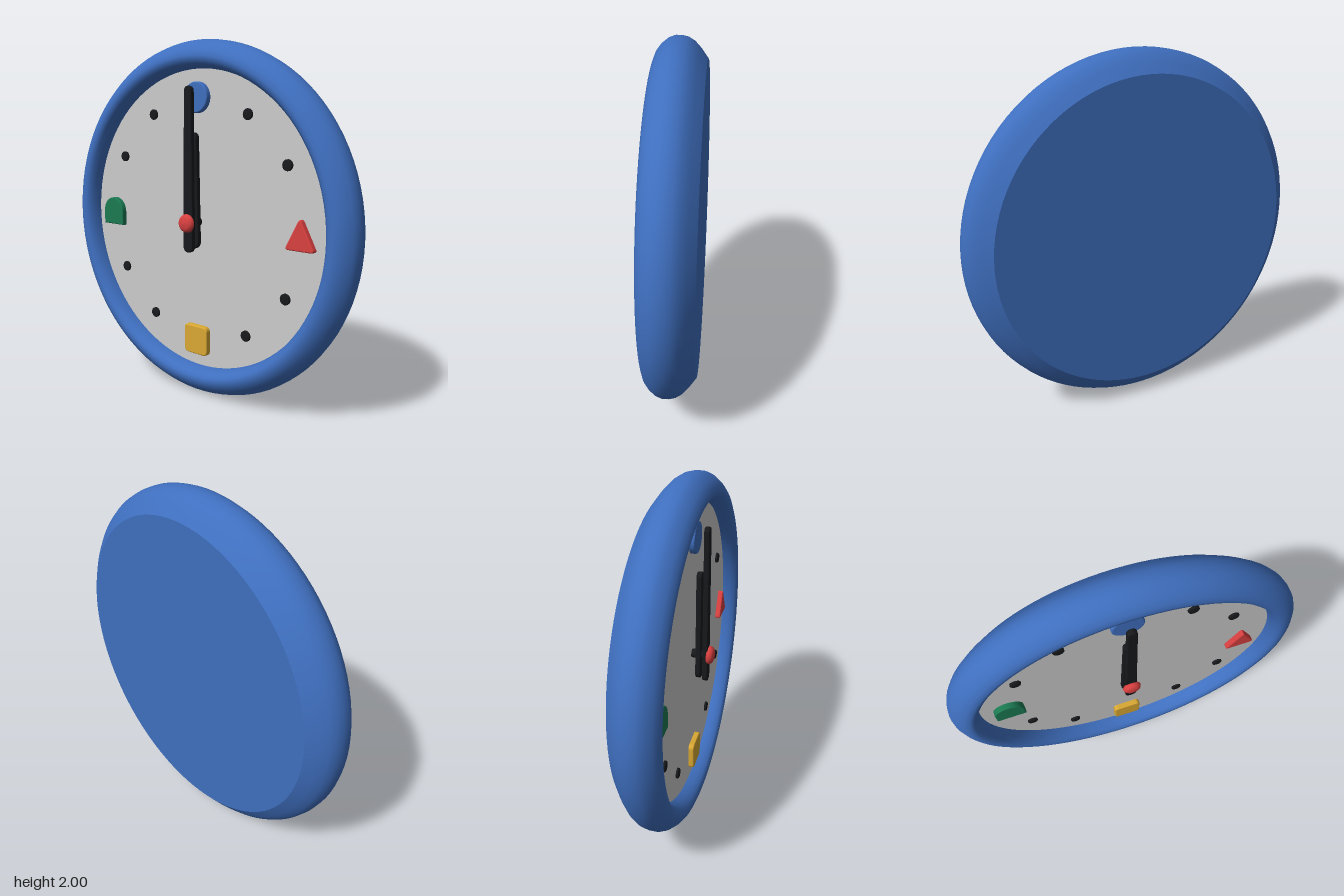
import * as THREE from 'three';

const BLUE = 0x3f6fbf, RED = 0xd94040, YELLOW = 0xd9a833, GREEN = 0x1b7a52, BLACK = 0x17191c;
const FACE_Z = 0.027;

function add(parent, name, geometry, color, x = 0, y = 0, z = 0) {
  const mesh = new THREE.Mesh(geometry, new THREE.MeshStandardMaterial({ color }));
  mesh.name = name;
  mesh.position.set(x, y, z);
  parent.add(mesh);
  return mesh;
}

// Lathe about the z axis; points are [radius, z], running from back to front
function turned(points, segments = 96) {
  return new THREE.LatheGeometry(points.map(([r, z]) => new THREE.Vector2(r, z)), segments).rotateX(Math.PI / 2);
}

// Bevelled plate from z = 0 to z = depth, keeping the outline's size
function plate(shape, depth, bevel) {
  return new THREE.ExtrudeGeometry(shape, {
    depth: depth - bevel, bevelEnabled: true, bevelThickness: bevel, bevelSize: bevel,
    bevelOffset: -bevel, bevelSegments: 3, curveSegments: 24,
  });
}

// Polygon with rounded corners, listed anticlockwise
function roundedPolygon(corners, radius) {
  const pts = corners.map(([x, y]) => new THREE.Vector2(x, y));
  const shape = new THREE.Shape();
  pts.forEach((p, i) => {
    const prev = pts[(i + pts.length - 1) % pts.length], next = pts[(i + 1) % pts.length];
    const a = p.clone().add(prev.clone().sub(p).setLength(radius));
    const b = p.clone().add(next.clone().sub(p).setLength(radius));
    if (i === 0) shape.moveTo(a.x, a.y); else shape.lineTo(a.x, a.y);
    shape.quadraticCurveTo(p.x, p.y, b.x, b.y);
  });
  shape.closePath();
  return shape;
}

// Tapered hand with round ends
function handShape(bottom, top, wBottom, wTop) {
  const shape = new THREE.Shape();
  shape.absarc(0, bottom + wBottom, wBottom, Math.PI, Math.PI * 2, false);
  shape.absarc(0, top - wTop, wTop, 0, Math.PI, false);
  shape.closePath();
  return shape;
}

export function createModel() {
  const clock = new THREE.Group();
  clock.name = 'wallClock';
  const body = new THREE.Group();
  body.name = 'body';
  body.position.y = 1;
  clock.add(body);

  // Casing: flat back, rounded rim and inner lip
  add(body, 'backPlate', turned([[0, -0.157], [0.882, -0.157]]), BLUE);
  add(body, 'rim', turned([
    [0.882, -0.157], [0.935, -0.118], [0.972, -0.083], [0.992, -0.05], [1, -0.015], [1, 0.02],
    [0.988, 0.052], [0.962, 0.085], [0.935, 0.106], [0.908, 0.116], [0.885, 0.113],
    [0.866, 0.098], [0.852, 0.07], [0.845, 0.035], [0.845, 0.015],
  ]), BLUE);
  add(body, 'dial', new THREE.CircleGeometry(0.847, 96), 0xcccccc, 0, 0, FACE_Z);

  // Hour dots, leaving the quarters for the shaped markers
  for (let i = 0; i < 12; i++) {
    if (i % 3 === 0) continue;
    const a = i * Math.PI / 6;
    add(body, 'hourDot', turned([[0.03, 0], [0.03, 0.01], [0.026, 0.014], [0, 0.015]], 24), BLACK,
      0.69 * Math.sin(a), 0.69 * Math.cos(a), FACE_Z);
  }

  // Quarter markers: circle, triangle, square and arch
  const circle = new THREE.Shape().absarc(0, 0, 0.085, 0, Math.PI * 2, false);
  const triangle = roundedPolygon([[-0.09, -0.08], [0.09, -0.08], [0, 0.09]], 0.025);
  const s = 0.085;
  const square = roundedPolygon([[-s, -s], [s, -s], [s, s], [-s, s]], 0.03);
  const arch = new THREE.Shape();
  arch.moveTo(-s, -0.083);
  arch.lineTo(s, -0.083);
  arch.absarc(0, 0, s, 0, Math.PI, false);
  arch.closePath();
  add(body, 'circleMarker', plate(circle, 0.032, 0.008), BLUE, 0, 0.69, FACE_Z);
  add(body, 'triangleMarker', plate(triangle, 0.032, 0.008), RED, 0.69, 0, FACE_Z);
  add(body, 'squareMarker', plate(square, 0.032, 0.008), YELLOW, 0, -0.69, FACE_Z);
  add(body, 'archMarker', plate(arch, 0.032, 0.008), GREEN, -0.69, 0, FACE_Z);

  // Hands on a central spindle with a domed cap
  add(body, 'spindle', turned([[0.025, 0], [0.025, 0.1]], 24), BLACK, 0, 0, FACE_Z);
  add(body, 'hourHand', plate(handShape(-0.15, 0.5, 0.044, 0.03), 0.024, 0.006), BLACK, 0, 0, 0.06);
  add(body, 'minuteHand', plate(handShape(-0.167, 0.75, 0.034, 0.026), 0.024, 0.006), BLACK, 0, 0, 0.098);
  add(body, 'centreCap', turned([
    [0, 0.115], [0.045, 0.115], [0.052, 0.124], [0.051, 0.134], [0.044, 0.146], [0.03, 0.153], [0, 0.157],
  ], 32), RED);

  return clock;
}
